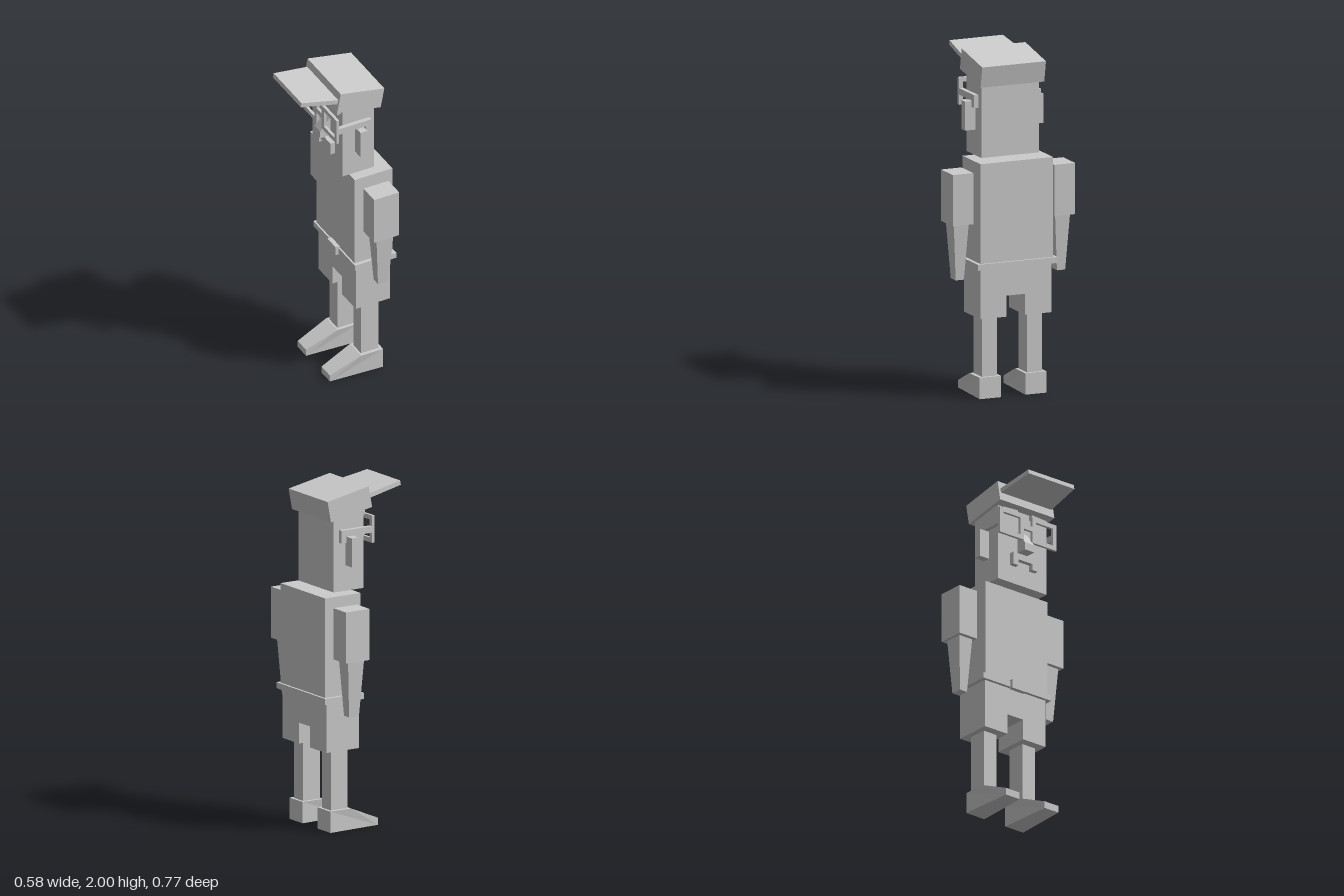
import * as THREE from 'three';

const material = new THREE.MeshStandardMaterial({ color: 0xcccccc, flatShading: true });

export function createModel() {
  const model = new THREE.Group();

  const add = (name, geometry, parent = model) => {
    const mesh = new THREE.Mesh(geometry, material);
    mesh.name = name;
    parent.add(mesh);
    return mesh;
  };

  // Box given by its [min, max] range on each axis
  const box = (name, [x0, x1], [y0, y1], [z0, z1], parent) => {
    const mesh = add(name, new THREE.BoxGeometry(x1 - x0, y1 - y0, Math.abs(z1 - z0)), parent);
    mesh.position.set((x0 + x1) / 2, (y0 + y1) / 2, (z0 + z1) / 2);
    return mesh;
  };

  // Move every vertex by a rule
  const reshape = (geometry, rule) => {
    const p = geometry.attributes.position;
    const v = new THREE.Vector3();
    for (let i = 0; i < p.count; i++) {
      rule(v.fromBufferAttribute(p, i));
      p.setXYZ(i, v.x, v.y, v.z);
    }
    geometry.computeVertexNormals();
    return geometry;
  };

  const polygon = (points) => new THREE.Shape(points.map(([x, y]) => new THREE.Vector2(x, y)));
  const extrude = (shape, depth) =>
    new THREE.ExtrudeGeometry(shape, { depth, bevelEnabled: false }).translate(0, 0, -depth / 2);
  // Outline drawn in (z, y), extruded along x between x0 and x1
  const extrudeX = (shape, x0, x1) =>
    extrude(shape, x1 - x0).rotateY(-Math.PI / 2).translate((x0 + x1) / 2, 0, 0);

  // Body; the figure looks towards -x
  box('torso', [0.027, 0.272], [0.8, 1.387], [-0.228, 0.228]);
  box('belt', [0.017, 0.286], [0.768, 0.803], [-0.25, 0.25]);
  box('buckle', [0, 0.027], [0.757, 0.812], [-0.05, 0.05]);
  add('shorts', extrudeX(polygon([
    [-0.224, 0.477], [-0.058, 0.477], [-0.058, 0.6], [0.058, 0.6],
    [0.058, 0.477], [0.224, 0.477], [0.224, 0.77], [-0.224, 0.77],
  ]), 0.037, 0.26));

  // Head and tilted cap
  box('head', [-0.026, 0.18], [1.4, 1.86], [-0.18, 0.18]);
  const cap = add('cap', new THREE.BoxGeometry(0.288, 0.126, 0.4));
  cap.position.set(0.082, 1.908, 0);
  cap.rotation.z = -0.19;
  const brim = add('capBrim', reshape(new THREE.BoxGeometry(0.235, 0.027, 2), (v) => {
    v.z *= v.x < 0 ? 0.168 : 0.187;
  }));
  brim.position.set(-0.172, 1.959, 0);
  brim.rotation.z = -0.19;

  // Face
  add('nose', extrude(polygon([
    [-0.026, 1.6], [-0.092, 1.6], [-0.092, 1.645], [-0.026, 1.73],
  ]), 0.07));
  add('moustache', extrudeX(polygon([
    [-0.09, 1.508], [-0.05, 1.508], [-0.05, 1.545], [0.05, 1.545],
    [0.05, 1.508], [0.09, 1.508], [0.09, 1.583], [-0.09, 1.583],
  ]), -0.055, -0.026));

  // Glasses
  const glasses = new THREE.Group();
  glasses.name = 'glasses';
  model.add(glasses);
  box('bridge', [-0.08, -0.063], [1.735, 1.765], [-0.035, 0.035], glasses);

  for (const s of [1, -1]) {
    const side = s > 0 ? 'left' : 'right';
    const z = (a, b) => (s > 0 ? [a, b] : [-b, -a]);

    box(side + 'Ear', [0.055, 0.1], [1.55, 1.72], z(0.175, 0.247));
    box(side + 'Eyebrow', [-0.05, -0.026], [1.828, 1.852], z(0.05, 0.16)).rotation.x = s * 0.06;

    // Lens frame with an open middle, then the temple and its hook
    const frame = polygon([[0.03, 1.665], [0.21, 1.665], [0.21, 1.825], [0.03, 1.825]]);
    frame.holes.push(polygon([[0.057, 1.692], [0.057, 1.798], [0.183, 1.798], [0.183, 1.692]]));
    const rim = add(side + 'LensFrame', extrudeX(frame, -0.08, -0.063), glasses);
    if (s < 0) rim.rotation.x = Math.PI, rim.position.y = 2 * 1.745;
    box(side + 'Temple', [-0.064, 0.145], [1.725, 1.763], z(0.184, 0.21), glasses);
    box(side + 'TempleHook', [0.112, 0.145], [1.688, 1.726], z(0.184, 0.21), glasses);

    // Arm: boxy sleeve and a forearm tapering downwards
    box(side + 'Sleeve', [0.07, 0.232], [1.03, 1.33], z(0.255, 0.384));
    const forearm = add(side + 'Forearm', reshape(new THREE.BoxGeometry(0.11, 0.33, 0.094), (v) => {
      if (v.y < 0) v.x *= 0.62, v.z *= 0.55;
    }));
    forearm.position.set(0.15, 0.865, s * 0.318);

    // Leg and wedge shoe narrowing to the toe
    box(side + 'Leg', [0.09, 0.205], [0.12, 0.48], z(0.095, 0.188));
    const shoe = add(side + 'Shoe', reshape(extrude(polygon([
      [-0.115, 0], [0.222, 0], [0.222, 0.125], [0.08, 0.125], [-0.115, 0.042],
    ]), 0.134), (v) => {
      if (v.x < 0) v.z *= 0.75;
    }));
    shoe.position.z = s * 0.143;
  }

  return model;
}
